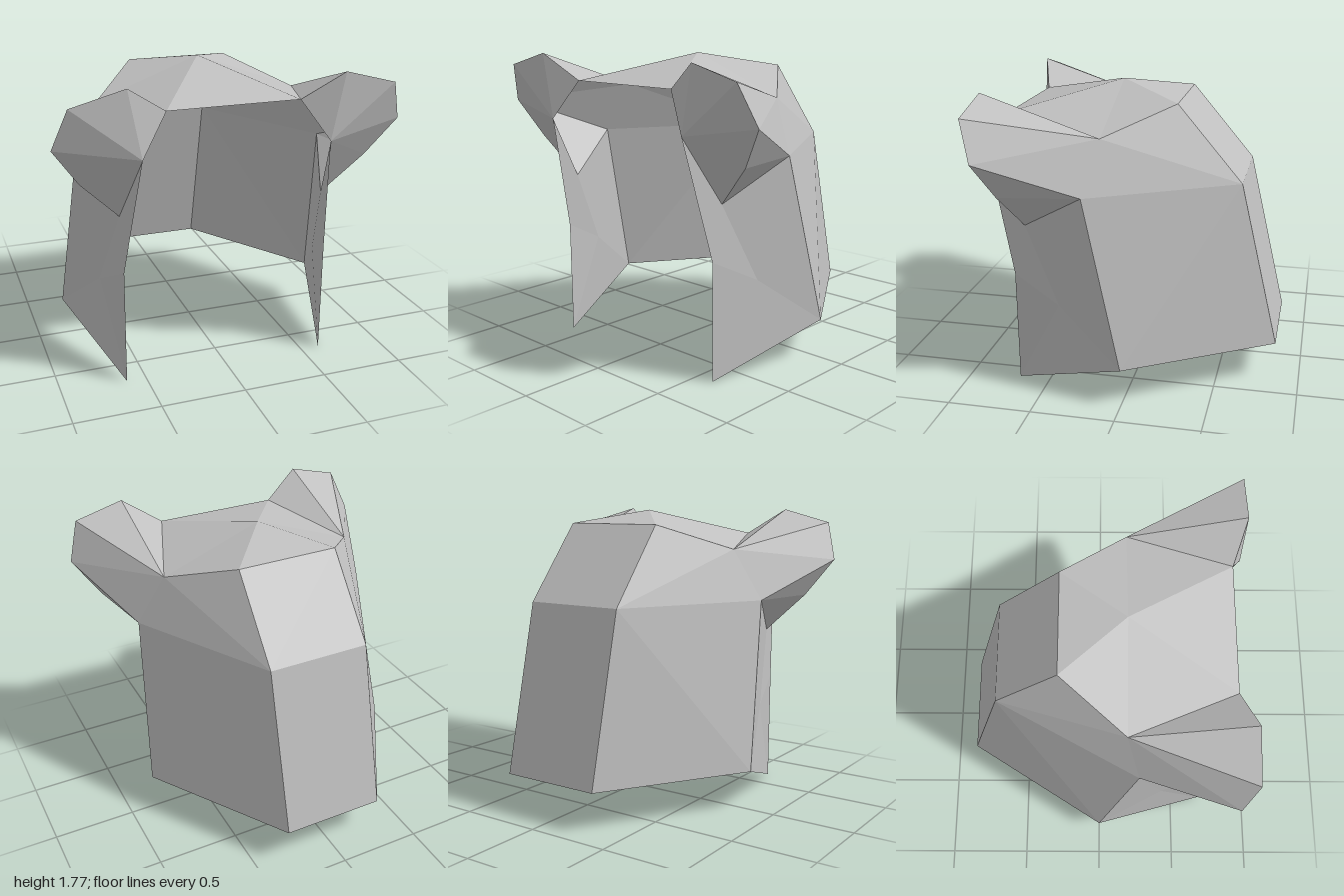
import * as THREE from 'three';

// Named corners of the left (+x) half
const P = {
  backLow: [0.31, 0.23, -0.85], backMid: [0.31, 1.235, -0.615], backTop: [0.31, 1.69, -0.23],
  peak: [0, 1.77, 0.155], brow: [0.385, 1.615, 0.765], crown: [0.615, 1.54, 0.155],
  sideLow: [0.845, 0.235, 0], side: [0.77, 1.235, 0.23],
  cheekTip: [0.615, 0, 0.69], cheekFront: [0.615, 0.69, 0.69], cheekMid: [0.69, 0.54, 0.4],
  earRoot: [0.54, 1.385, 0.845], earTop: [0.615, 1.77, 0.845], earOut: [0.92, 1.69, 0.845],
  earTip: [1, 1.46, 0.77], earLow: [0.845, 1.235, 0.69], earPoint: [0.615, 1, 0.615],
};

// Faces of one half, counter-clockwise from outside; a leading '-' mirrors a corner
const PARTS = {
  crown: ['peak brow crown', 'peak crown backTop'],
  sidePanel: ['crown side backMid', 'crown backMid backTop', 'side sideLow backMid', 'sideLow backLow backMid'],
  cheekFlap: [
    'cheekMid cheekTip sideLow', 'cheekMid cheekFront cheekTip', 'cheekMid earPoint cheekFront',
    'cheekMid side earPoint', 'cheekMid sideLow side', 'cheekFront earPoint earRoot',
  ],
  ear: [
    'earRoot earTop brow', 'earRoot earOut earTop', 'earRoot earTip earOut',
    'earRoot earLow earTip', 'earRoot earPoint earLow',
    'brow earTop crown', 'earTop earOut crown',
    'crown earOut earTip', 'crown earTip side', 'side earTip earLow', 'side earLow earPoint',
  ],
};
const MIDDLE = {
  crownMiddle: ['peak -brow brow', 'peak backTop -backTop'],
  backPanel: [
    'backLow -backLow -backMid', 'backLow -backMid backMid',
    'backMid -backMid -backTop', 'backMid -backTop backTop',
  ],
};

function corner(name, flip) {
  const away = name.startsWith('-');
  const [x, y, z] = P[away ? name.slice(1) : name];
  return [away !== flip ? -x : x, y, z];
}

function panel(name, faces, material, flip = false) {
  const points = faces.flatMap((face) => {
    const corners = face.split(' ').map((n) => corner(n, flip));
    return (flip ? corners.reverse() : corners).flat();
  });
  const geometry = new THREE.BufferGeometry();
  geometry.setAttribute('position', new THREE.Float32BufferAttribute(points, 3));
  geometry.computeVertexNormals();
  const mesh = new THREE.Mesh(geometry, material);
  mesh.name = name;
  return mesh;
}

export function createModel() {
  const group = new THREE.Group();
  group.name = 'earedHood';
  const grey = new THREE.MeshStandardMaterial({ color: 0xc0c0c0, side: THREE.DoubleSide, flatShading: true });
  grey.name = 'light grey';

  // Centre panels
  for (const [name, faces] of Object.entries(MIDDLE)) group.add(panel(name, faces, grey));

  // Mirrored panels, cheek flaps and ears
  for (const [name, faces] of Object.entries(PARTS)) {
    group.add(panel(name + 'Left', faces, grey));
    group.add(panel(name + 'Right', faces, grey, true));
  }
  return group;
}
